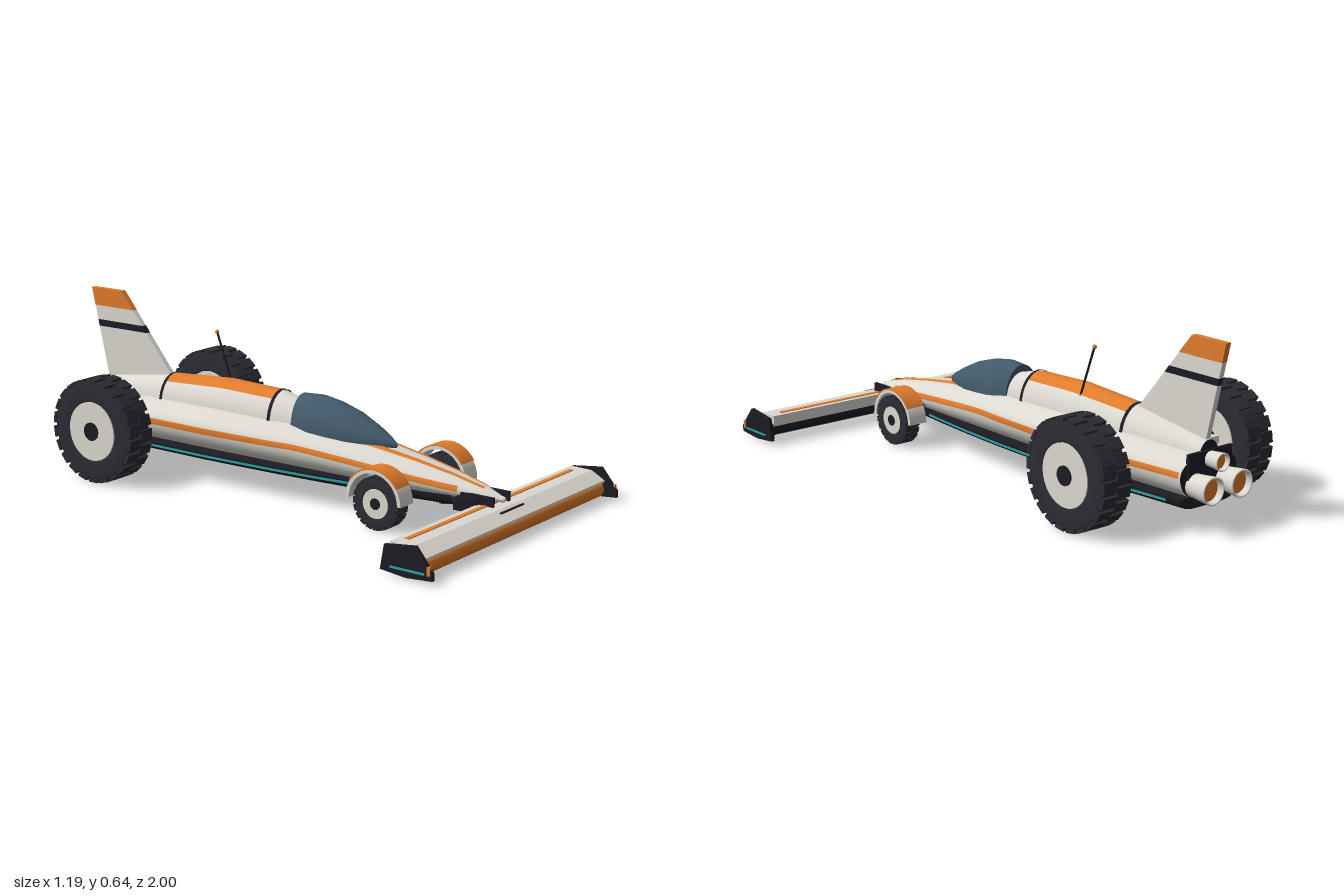
import * as THREE from 'three';

const mat = (name, color, side = THREE.FrontSide) => {
  const m = new THREE.MeshStandardMaterial({ color, side });
  m.name = name;
  return m;
};

export function createModel() {
  const root = new THREE.Group();
  root.name = 'rocketCar';
  const D = THREE.DoubleSide;
  const white = mat('shell white', 0xdcd9d1, D), orange = mat('orange', 0xe07c2c, D);
  const black = mat('carbon black', 0x1d1c23, D), rubber = mat('tyre rubber', 0x2c2c34);
  const glass = mat('canopy glass', 0x42596a, D), teal = mat('teal', 0x2aa3a8, D);

  const add = (name, geo, material, x = 0, y = 0, z = 0, parent = root) => {
    const m = new THREE.Mesh(geo, material);
    m.name = name;
    m.position.set(x, y, z);
    parent.add(m);
    return m;
  };
  const box = (name, w, h, d, material, x, y, z, parent) =>
    add(name, new THREE.BoxGeometry(w, h, d), material, x, y, z, parent);

  // Surface sampled from point(u, v), both 0..1
  const grid = (point, nu, nv) => {
    const pos = [], idx = [];
    for (let i = 0; i <= nu; i++) for (let j = 0; j <= nv; j++) pos.push(...point(i / nu, j / nv));
    for (let i = 0; i < nu; i++) for (let j = 0; j < nv; j++) {
      const a = i * (nv + 1) + j, b = a + nv + 1;
      idx.push(a, b, a + 1, b, b + 1, a + 1);
    }
    const g = new THREE.BufferGeometry();
    g.setAttribute('position', new THREE.Float32BufferAttribute(pos, 3));
    g.setIndex(idx);
    g.computeVertexNormals();
    return g;
  };
  // Side profile given as [z, y] points, extruded along x and centred
  const slab = (shape, width, segments = 24) => {
    const s = Array.isArray(shape) ? new THREE.Shape(shape.map(p => new THREE.Vector2(...p))) : shape;
    return new THREE.ExtrudeGeometry(s, { depth: width, bevelEnabled: false, curveSegments: segments })
      .translate(0, 0, -width / 2).rotateY(-Math.PI / 2);
  };
  const rod = (name, a, b, r, material, parent) => {
    const p = new THREE.Vector3(...a), q = new THREE.Vector3(...b), d = q.clone().sub(p);
    const m = add(name, new THREE.CylinderGeometry(r, r, d.length(), 8), material, 0, 0, 0, parent);
    m.position.copy(p.add(q).multiplyScalar(0.5));
    m.quaternion.setFromUnitVectors(new THREE.Vector3(0, 1, 0), d.normalize());
  };

  // Hull stations: z, half width, top, widest height, bottom
  const sampler = rows => z => {
    let i = 0;
    while (i < rows.length - 2 && z < rows[i + 1][0]) i++;
    const t = (rows[i][0] - z) / (rows[i][0] - rows[i + 1][0]);
    return rows[i].map((v, k) => THREE.MathUtils.lerp(v, rows[i + 1][k], t));
  };
  const bodyAt = sampler([
    [0.885, 0.008, 0.135, 0.126, 0.117], [0.82, 0.037, 0.157, 0.132, 0.112], [0.7, 0.07, 0.187, 0.144, 0.11],
    [0.55, 0.1, 0.216, 0.16, 0.11], [0.4, 0.121, 0.24, 0.177, 0.112], [0.2, 0.142, 0.265, 0.195, 0.114],
    [0, 0.156, 0.28, 0.207, 0.115], [-0.3, 0.165, 0.286, 0.212, 0.115], [-0.6, 0.16, 0.282, 0.21, 0.115],
    [-0.91, 0.13, 0.268, 0.2, 0.115]]);
  const coverAt = sampler([
    [0.1, 0.065, 0.325, 0.25, 0.21], [0.04, 0.072, 0.345, 0.25, 0.21], [-0.05, 0.082, 0.366, 0.25, 0.21],
    [-0.3, 0.086, 0.374, 0.25, 0.21], [-0.57, 0.08, 0.357, 0.25, 0.21], [-0.91, 0.048, 0.308, 0.24, 0.21]]);
  const canopyAt = sampler([
    [0.452, 0.003, 0.247, 0.243, 0.235], [0.42, 0.026, 0.268, 0.244, 0.22], [0.36, 0.053, 0.301, 0.246, 0.22],
    [0.28, 0.076, 0.338, 0.248, 0.22], [0.2, 0.088, 0.362, 0.25, 0.22], [0.12, 0.091, 0.375, 0.252, 0.22],
    [0.04, 0.076, 0.371, 0.255, 0.22]]);
  const onHull = (at, z, a, grow = 0) => {
    const [, w, top, mid, bot] = at(z), c = Math.cos(a), s = Math.sin(a);
    const x = s < 0 ? Math.sign(c) * Math.abs(c) ** 0.65 : c;
    return [x * (w + grow), mid + s * ((s > 0 ? top - mid : mid - bot) + grow), z];
  };
  const hull = (name, at, z0, z1, material) => add(name,
    grid((u, v) => onHull(at, z0 + (z1 - z0) * u, v * 2 * Math.PI), 48, 40), material);
  const cap = (name, at, z, material, grow = 0) => add(name, grid((u, v) => {
    const p = onHull(at, z, v * 2 * Math.PI, grow), mid = at(z)[3];
    return [p[0] * u, mid + (p[1] - mid) * u, z];
  }, 1, 40), material);
  // Painted strip between angles a0 and a1 of a hull; each may vary with z
  const strip = (name, at, z0, z1, a0, a1, material, grow = 0.003) => add(name, grid((u, v) => {
    const z = z0 + (z1 - z0) * u, p = a0(z), q = a1(z);
    return onHull(at, z, p + (q - p) * v, grow);
  }, 40, 14), material);
  const k = v => () => v;

  hull('fuselage', bodyAt, 0.885, -0.91, white);
  cap('tailPlate', bodyAt, -0.91, black);
  hull('engineCover', coverAt, 0.08, -0.91, white);
  cap('engineCoverEnd', coverAt, -0.91, black);
  box('tailBulkhead', 0.2, 0.13, 0.012, black, 0, 0.21, -0.912);
  hull('canopy', canopyAt, 0.452, 0.04, glass);
  cap('canopyBack', canopyAt, 0.04, glass);
  strip('topPanel', coverAt, -0.06, -0.57, k(0.9), k(Math.PI - 0.9), orange);
  for (const z of [-0.048, -0.568])
    strip('coverBand', coverAt, z, z - 0.014, k(0), k(Math.PI), black, 0.005);
  const nose = add('noseTip', new THREE.SphereGeometry(0.011, 14, 10), white, 0, 0.126, 0.882);
  nose.scale.z = 1.3;

  // Floor tray under the fuselage
  const floorPoint = (z, a) => [bodyAt(z)[1] * 0.97 * Math.sign(Math.cos(a)) * Math.abs(Math.cos(a)) ** 0.45,
    0.125 - 0.04 * Math.abs(Math.sin(a)) ** 0.7, z];
  add('floorTray', grid((u, v) => floorPoint(0.72 - 1.63 * u, Math.PI * v), 40, 24), black);
  add('floorTrayEnd', grid((u, v) => {
    const p = floorPoint(-0.91, Math.PI * v);
    return [p[0], 0.125 + (p[1] - 0.125) * u, p[2]];
  }, 1, 24), black);

  // Front wing
  add('wingTop', slab([[0.82, 0.11], [0.905, 0.107], [0.957, 0.078], [0.957, 0.07], [0.82, 0.07]], 1.13), white);
  add('wingCore', slab([[0.825, 0.072], [0.935, 0.072], [0.935, 0.02], [0.86, 0.025], [0.825, 0.05]], 1.13), black);
  const lip = new THREE.Shape();
  lip.absarc(0.925, 0.043, 0.031, -Math.PI / 2, Math.PI / 2, false);
  add('wingLeadingEdge', slab(lip, 1.13), orange);
  box('wingStripe', 1.03, 0.004, 0.018, orange, 0, 0.1095, 0.85);
  box('wingSlot', 0.145, 0.004, 0.008, black, 0, 0.1, 0.921);
  box('wingUndersideLine', 1.1, 0.004, 0.01, teal, 0, 0.022, 0.872);
  box('nosePylon', 0.12, 0.03, 0.15, black, 0, 0.09, 0.8);

  // Tyre with staggered tread blocks, axis along x
  const wheel = (name, r, width, hubR, capR, teeth, x, y, z) => {
    const g = new THREE.Group();
    g.name = name;
    g.position.set(x, y, z);
    root.add(g);
    const h = width / 2, ri = r * 0.955;
    const profile = [[hubR, -h * 0.9], [hubR * 1.05, -h], [ri * 0.95, -h], [ri, -h * 0.85], [ri, h * 0.85],
      [ri * 0.95, h], [hubR * 1.05, h], [hubR, h * 0.9]].map(p => new THREE.Vector2(...p));
    add('tyre', new THREE.LatheGeometry(profile, 40), rubber, 0, 0, 0, g).rotation.z = Math.PI / 2;
    for (let i = 0; i < teeth * 2; i++) {
      const a = i * Math.PI / teeth, rr = r * 0.965;
      const b = box('treadBlock', h * 0.97, r * 0.07, r * 4.6 / teeth, rubber,
        (i % 2 ? 1 : -1) * h * 0.49, rr * Math.cos(a), rr * Math.sin(a), g);
      b.rotation.x = a;
    }
    const disc = (n, rad, w, m) =>
      add(n, new THREE.CylinderGeometry(rad, rad, w, 32), m, 0, 0, 0, g).rotation.z = Math.PI / 2;
    disc('wheelDisc', hubR, width * 0.98, white);
    disc('hubCap', capR, width * 1.06, black);
  };
  const arc = (ri, ro, a) => {
    const s = new THREE.Shape();
    s.absarc(0, 0, ro, a, Math.PI - a, false);
    s.absarc(0, 0, ri, Math.PI - a, a, true);
    return s;
  };

  for (const s of [-1, 1]) {
    // Painted lines on the flanks and nose
    const heightAngle = dy => z => {
      const [, , top, mid] = bodyAt(z);
      const y = Math.min(0.207, mid + 0.006) + dy;
      const a = Math.asin(THREE.MathUtils.clamp((y - mid) / (top - mid), -0.3, 0.9));
      return s > 0 ? a : Math.PI - a;
    };
    strip('flankStripe', bodyAt, 0.74, -0.905, heightAngle(-0.007), heightAngle(0.012), orange);
    const noseAngle = off => z => Math.acos(
      s * THREE.MathUtils.clamp((0.032 - 0.055 * (z - 0.4) + off * (1.2 - z)) / bodyAt(z)[1], 0, 0.95));
    strip('noseStripe', bodyAt, 0.82, 0.34, noseAngle(-0.004), noseAngle(0.026), orange);
    add('floorLine', grid((u, v) => {
      const z = 0.45 - 1.3 * u;
      return [s * (bodyAt(z)[1] * 0.975 + 0.002), 0.11 + 0.009 * v, z];
    }, 30, 1), teal);

    // Wing mounts and end plates
    box('wingMount', 0.012, 0.042, 0.13, black, s * 0.05, 0.12, 0.815);
    box('wingMountFoot', 0.025, 0.03, 0.08, black, s * 0.065, 0.115, 0.785).rotation.y = -s * 0.15;
    add('endPlate', slab([[1, 0.018], [1, 0.042], [0.935, 0.12], [0.815, 0.105], [0.8, 0.02], [0.9, 0.01]], 0.012),
      black, s * 0.584);
    box('endPlateInner', 0.02, 0.06, 0.11, black, s * 0.572, 0.05, 0.88);
    box('endPlateLine', 0.004, 0.007, 0.13, teal, s * 0.591, 0.036, 0.905);
    box('endPlateMarker', 0.012, 0.03, 0.012, orange, s * 0.586, 0.048, 0.985);

    // Front wheels, fenders and links
    wheel('frontWheel', 0.093, 0.062, 0.052, 0.02, 20, s * 0.202, 0.098, 0.525);
    add('frontFender', slab(arc(0.1, 0.114, 0), 0.075), white, s * 0.199, 0.104, 0.517);
    add('fenderPaint', slab(arc(0.112, 0.117, 0.56), 0.077), orange, s * 0.199, 0.104, 0.517);
    for (const dz of [-0.03, 0.03]) {
      rod('frontLink', [s * 0.07, 0.15, 0.52 + dz], [s * 0.18, 0.12, 0.52], 0.006, black);
      rod('frontLowerLink', [s * 0.07, 0.12, 0.52 + dz], [s * 0.18, 0.09, 0.52], 0.006, black);
    }

    // Rear wheels, axle fairing and struts
    wheel('rearWheel', 0.193, 0.118, 0.11, 0.034, 22, s * 0.331, 0.198, -0.64);
    box('axleFairing', 0.18, 0.026, 0.1, white, s * 0.195, 0.205, -0.64);
    box('axleStripe', 0.16, 0.004, 0.026, orange, s * 0.2, 0.2185, -0.642);
    rod('rearAxle', [s * 0.12, 0.198, -0.64], [s * 0.3, 0.198, -0.64], 0.02, black);
    for (const dz of [-0.05, 0.05])
      rod('rearStrut', [s * 0.14, 0.14, -0.64 + dz], [s * 0.28, 0.19, -0.64 + dz * 0.5], 0.008, black);
  }

  // Rocket nozzles
  const nozzle = (x, y, r, end) => {
    const len = end - 0.89;
    const pts = [[r * 0.8, 0], [r * 0.85, len * 0.4], [r, len], [r * 0.86, len], [r * 0.74, len * 0.5]];
    const g = new THREE.LatheGeometry(pts.map(p => new THREE.Vector2(...p)), 28).rotateX(-Math.PI / 2);
    add('nozzle', g, white, x, y, -0.89);
    add('nozzleGlow', new THREE.CircleGeometry(r * 0.84, 28).rotateY(Math.PI), orange, x, y, -end + len * 0.2);
  };
  nozzle(0.066, 0.166, 0.049, 1);
  nozzle(-0.066, 0.166, 0.049, 1);
  nozzle(0, 0.245, 0.032, 0.975);

  // Tail fin, split by height into painted bands
  const front = y => -0.595 - (y - 0.365) * 0.84, back = y => -0.905 - (y - 0.31) * 0.239;
  const finPart = (name, y0, y1, width, material) =>
    add(name, slab([[front(y0), y0], [front(y1), y1], [back(y1), y1], [back(y0), y0]], width), material);
  finPart('tailFin', 0.29, 0.497, 0.02, white);
  finPart('tailFinBand', 0.497, 0.522, 0.021, black);
  finPart('tailFinUpper', 0.522, 0.577, 0.02, white);
  finPart('tailFinTip', 0.577, 0.645, 0.022, orange);

  // Antenna
  rod('antenna', [0.05, 0.33, -0.33], [0.05, 0.53, -0.405], 0.004, black);
  add('antennaTip', new THREE.SphereGeometry(0.008, 10, 8), orange, 0.05, 0.53, -0.405);

  return root;
}
